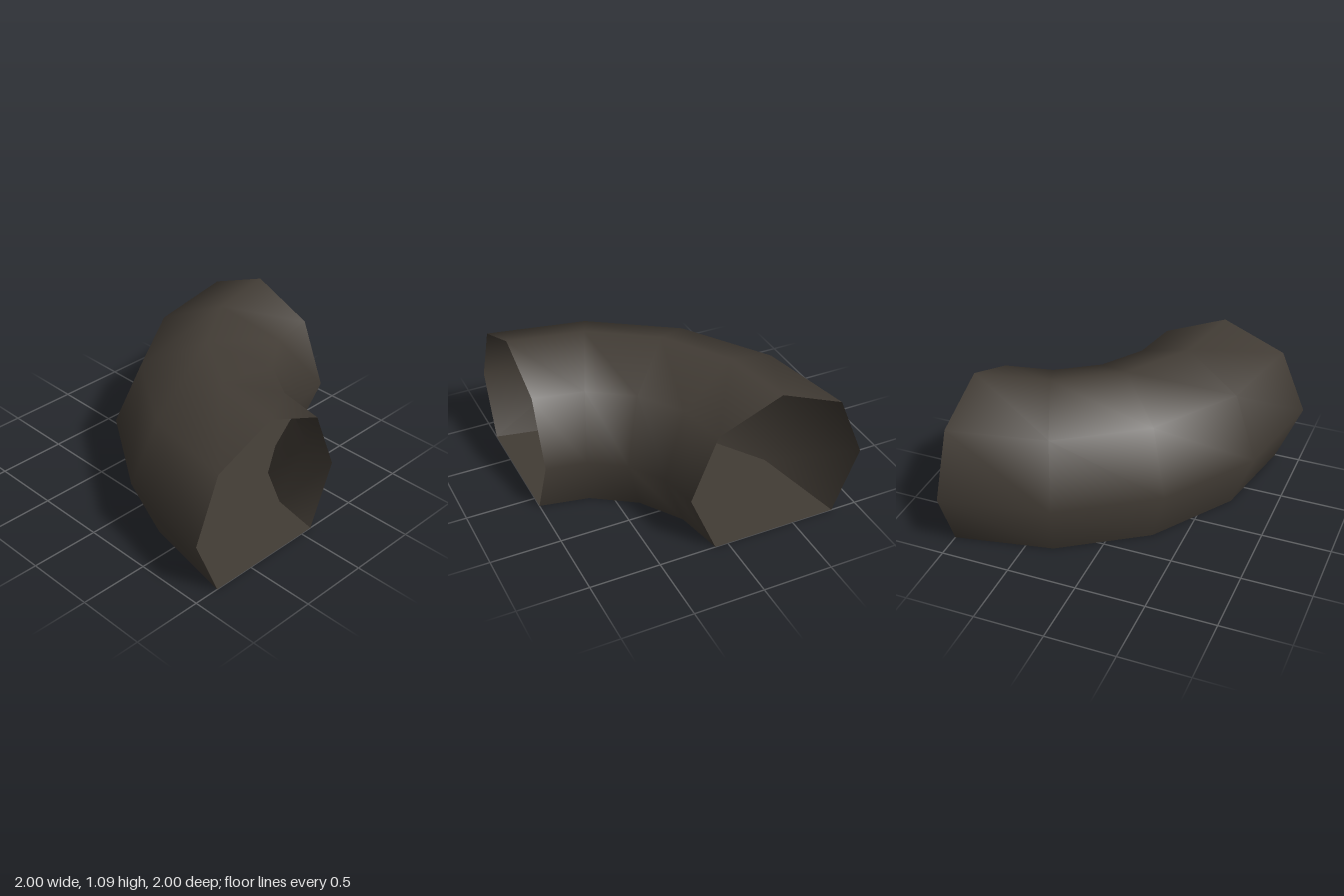
import * as THREE from 'three';

const SIDES = 8;          // octagonal section, lowest corner cut off by the floor
const TUBE = 0.64;        // section radius
const BEND = 1.36;        // bend radius at the section centre
const STEPS = 4;          // straight pieces along the quarter turn

export function createModel() {
  const group = new THREE.Group();
  group.name = 'curvedTunnel';

  const darkStone = new THREE.MeshStandardMaterial({ color: 0x423c35, side: THREE.DoubleSide });
  darkStone.name = 'darkStone';

  // Section from the outer floor corner, over the roof, to the inner floor corner
  const profile = [];
  const lift = TUBE * Math.SQRT1_2;
  for (let i = -1; i <= 5; i++) {
    const a = (i / SIDES) * Math.PI * 2;
    profile.push(new THREE.Vector2(BEND + TUBE * Math.cos(a), lift + TUBE * Math.sin(a)));
  }

  // Sweeps a section through a quarter turn around the inside corner
  const sweep = (name, points) => {
    const geometry = new THREE.LatheGeometry(points, STEPS, -Math.PI / 2, Math.PI / 2);
    const mesh = new THREE.Mesh(geometry, darkStone);
    mesh.name = name;
    mesh.position.set(1, 0, -1);
    group.add(mesh);
  };

  sweep('tunnelShell', profile);
  // Flat floor, with its own normals so the edge to the walls stays sharp
  sweep('tunnelFloor', [profile[6], profile[0]]);

  return group;
}
